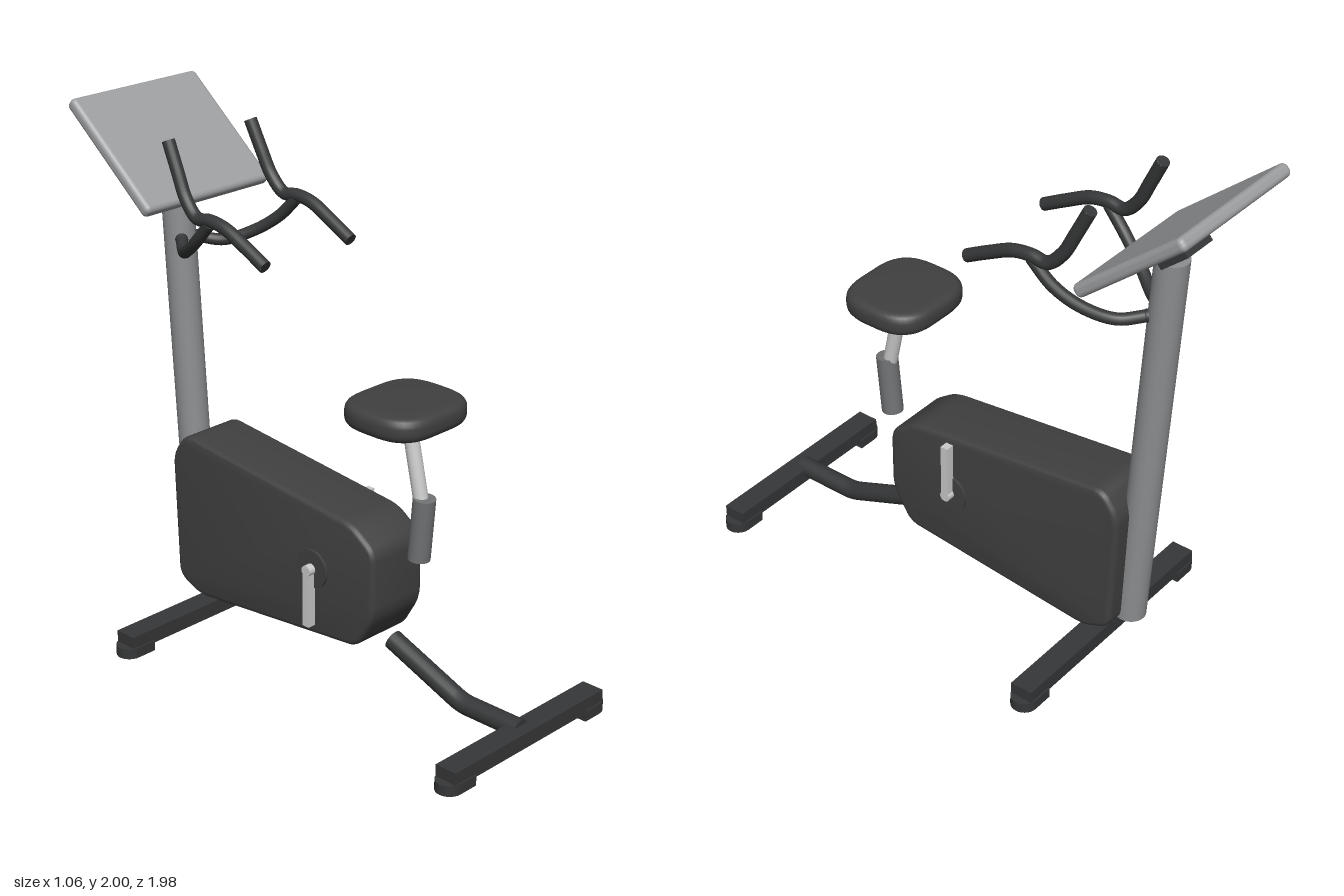
import * as THREE from 'three';
import { toCreasedNormals } from 'three/addons/utils/BufferGeometryUtils.js';
import { RoundedBoxGeometry } from 'three/addons/geometries/RoundedBoxGeometry.js';

const material = (name, color) => Object.assign(new THREE.MeshStandardMaterial({ color }), { name });
const V = (x, y, z) => new THREE.Vector3(x, y, z);

// Closed shape with every corner softened by the given distance
function roundedPolygon(points, r) {
  const p = points.map(([x, y]) => new THREE.Vector2(x, y));
  const shape = new THREE.Shape();
  p.forEach((c, i) => {
    const toward = (q) => c.clone().add(q.clone().sub(c).setLength(r));
    const a = toward(p[(i + p.length - 1) % p.length]);
    const b = toward(p[(i + 1) % p.length]);
    if (i === 0) shape.moveTo(a.x, a.y);
    else shape.lineTo(a.x, a.y);
    shape.quadraticCurveTo(c.x, c.y, b.x, b.y);
  });
  shape.closePath();
  return shape;
}

// Bevelled slab centred on its thickness; the bevel stays inside the outline
function slab(shape, thickness, bevel) {
  const g = new THREE.ExtrudeGeometry(shape, {
    depth: thickness - 2 * bevel, bevelThickness: bevel, bevelSize: bevel,
    bevelOffset: -bevel, bevelSegments: 4, curveSegments: 10,
  });
  g.translate(0, 0, -(thickness - 2 * bevel) / 2);
  return toCreasedNormals(g, 0.6);
}

export function createModel() {
  const model = new THREE.Group();
  model.name = 'exerciseBike';
  const dark = material('charcoal', 0x404041);
  const black = material('blackRubber', 0x363738);
  const steel = material('greySteel', 0x8c8e90);
  const sleeveGrey = material('darkSteel', 0x707274);
  const silver = material('silver', 0xcacaca);
  const panel = material('consoleGrey', 0x9d9ea0);

  const add = (name, geometry, mat, parent = model) => {
    const mesh = new THREE.Mesh(geometry, mat);
    mesh.name = name;
    parent.add(mesh);
    return mesh;
  };
  // Cylinder between two points
  const rod = (name, a, b, r, mat) => {
    const dir = b.clone().sub(a);
    const mesh = add(name, new THREE.CylinderGeometry(r, r, dir.length(), 32), mat);
    mesh.position.copy(a).add(b).multiplyScalar(0.5);
    mesh.quaternion.setFromUnitVectors(V(0, 1, 0), dir.normalize());
    return mesh;
  };
  // Bent tube with flat caps
  const tube = (name, curve, r, mat) => {
    add(name, new THREE.TubeGeometry(curve, 48, r, 16), mat);
    [0, 1].forEach((t) => {
      const cap = add(name + 'Cap', new THREE.CircleGeometry(r, 16), mat);
      cap.position.copy(curve.getPointAt(t));
      cap.quaternion.setFromUnitVectors(V(0, 0, 1), curve.getTangentAt(t).multiplyScalar(t ? 1 : -1));
    });
  };

  // Drive housing, outlined in the z-y plane
  const outline = [[0.362, 0.585], [0.25, 0.664], [-0.6, 0.758], [-0.668, 0.665],
    [-0.648, 0.165], [-0.535, 0.114], [0.28, 0.19], [0.362, 0.33]];
  add('housing', slab(roundedPolygon(outline, 0.045), 0.264, 0.022).rotateY(-Math.PI / 2), dark);

  // Column
  rod('column', V(0, 0.163, -0.648), V(0, 1.707, -0.752), 0.06, steel);

  // Seat with its post and sleeve
  const seatOutline = [[-0.197, -0.177], [0.197, -0.177], [0.197, 0.177], [-0.197, 0.177]];
  add('seat', slab(roundedPolygon(seatOutline, 0.15), 0.088, 0.032).rotateX(-Math.PI / 2), dark)
    .position.set(0, 1.098, 0.388);
  rod('seatPost', V(0, 1.07, 0.402), V(0, 0.77, 0.468), 0.027, silver);
  rod('seatSleeve', V(0, 0.797, 0.481), V(0, 0.56, 0.46), 0.041, sleeveGrey);

  // Console with its bracket, tilted back
  const consoleGroup = new THREE.Group();
  consoleGroup.name = 'console';
  consoleGroup.position.set(0, 1.819, -0.78);
  consoleGroup.rotation.x = -THREE.MathUtils.degToRad(50);
  model.add(consoleGroup);
  add('consolePanel', new RoundedBoxGeometry(0.604, 0.525, 0.05, 4, 0.02), panel, consoleGroup);
  add('consoleBracket', new THREE.BoxGeometry(0.14, 0.13, 0.06), black, consoleGroup)
    .position.set(0, -0.035, -0.05);

  for (const s of [1, -1]) {
    // Handlebar: grip on top of a curved support
    tube('grip', new THREE.CatmullRomCurve3([
      V(0.212 * s, 1.555, -0.075), V(0.213 * s, 1.605, -0.17), V(0.215 * s, 1.652, -0.27),
      V(0.215 * s, 1.663, -0.345), V(0.214 * s, 1.658, -0.41), V(0.21 * s, 1.715, -0.47),
      V(0.205 * s, 1.8, -0.514), V(0.2 * s, 1.905, -0.565)]), 0.024, black);
    tube('handleSupport', new THREE.CatmullRomCurve3([
      V(0.035 * s, 1.475, -0.69), V(0.1 * s, 1.463, -0.61), V(0.165 * s, 1.505, -0.515),
      V(0.203 * s, 1.57, -0.425), V(0.215 * s, 1.652, -0.345)]), 0.022, black);
    add('supportEnd', new THREE.SphereGeometry(0.024, 16, 12), black).position.set(0.035 * s, 1.475, -0.69);

    // Crank: disc, spindle and arm, opposed on the two sides
    rod('crankDisc', V(0.12 * s, 0.437, 0.072), V(0.142 * s, 0.437, 0.072), 0.073, dark);
    rod('crankSpindle', V(0.13 * s, 0.437, 0.072), V(0.17 * s, 0.437, 0.072), 0.021, silver);
    add('crankArm', new THREE.BoxGeometry(0.034, 0.235, 0.03), silver)
      .position.set(0.154 * s, 0.437 + 0.103 * s, 0.072);
  }

  // Floor bars with round feet
  for (const [name, z, half] of [['front', 0.943, 0.425], ['rear', -0.54, 0.53]]) {
    add(name + 'Bar', new THREE.BoxGeometry(2 * half - 0.06, 0.058, 0.088), black).position.set(0, 0.057, z);
    for (const s of [1, -1]) {
      add(name + 'Foot', new THREE.CylinderGeometry(0.05, 0.05, 0.04, 28), black)
        .position.set(s * (half - 0.05), 0.02, z);
      add(name + 'FootPad', new THREE.BoxGeometry(0.08, 0.04, 0.1), black)
        .position.set(s * (half - 0.09), 0.02, z);
    }
  }

  // Bent strut from the front bar to the housing
  const strut = new THREE.CurvePath();
  strut.add(new THREE.LineCurve3(V(0, 0.07, 0.94), V(0, 0.07, 0.71)));
  strut.add(new THREE.QuadraticBezierCurve3(V(0, 0.07, 0.71), V(0, 0.07, 0.675), V(0, 0.083, 0.642)));
  strut.add(new THREE.LineCurve3(V(0, 0.083, 0.642), V(0, 0.2, 0.342)));
  tube('strut', strut, 0.037, black);

  return model;
}
